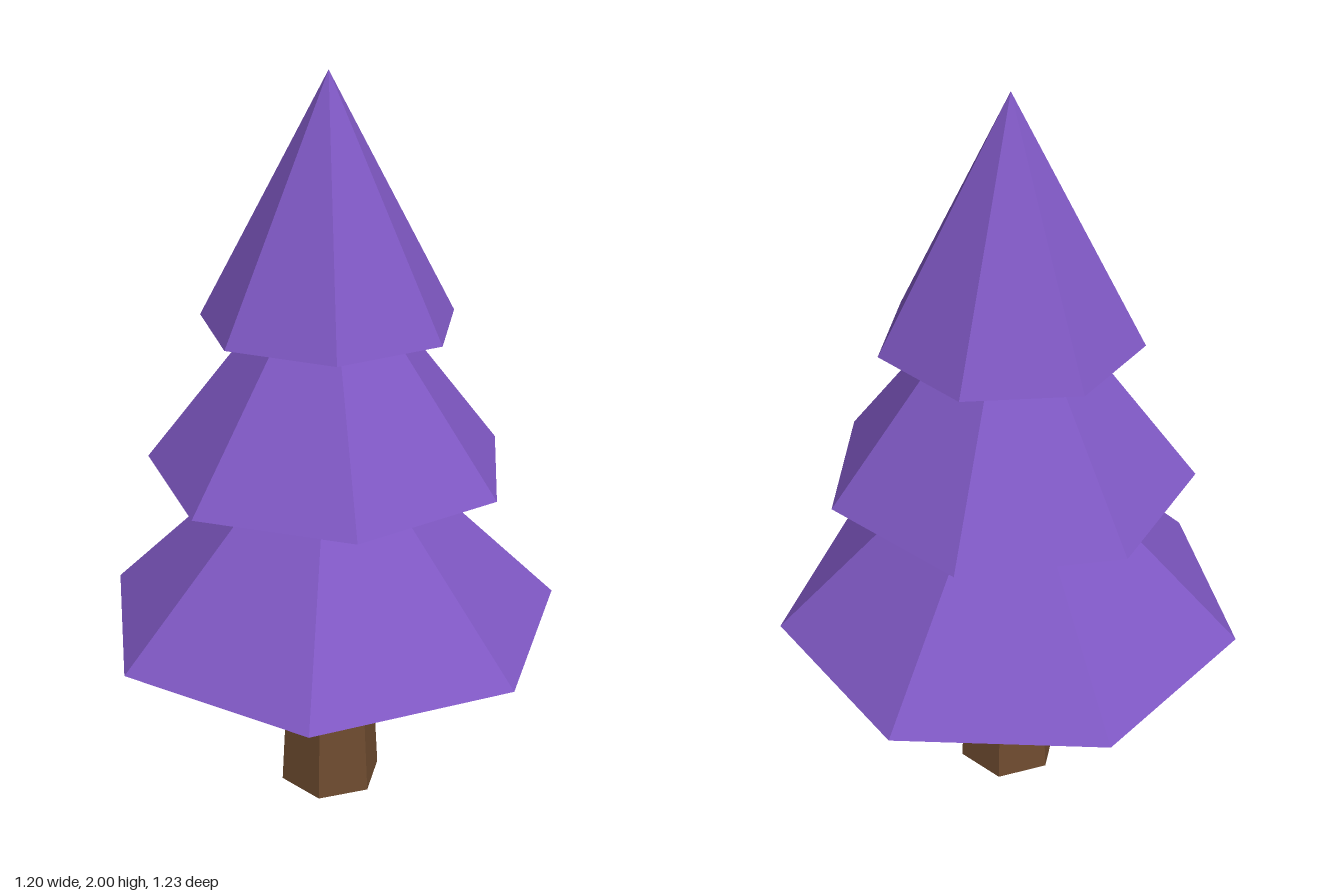
import * as THREE from 'three';

export function createModel() {
  const tree = new THREE.Group();
  tree.name = 'tree';
  const foliage = new THREE.MeshStandardMaterial({ name: 'purple foliage', color: 0x7e57c2 });
  const bark = new THREE.MeshStandardMaterial({ name: 'brown bark', color: 0x6f4c30 });
  const axisX = -0.032;

  // Faceted cone or tapered post standing on height y, turned by degrees
  function addTier(name, material, topRadius, radius, height, y, sides, degrees) {
    const geometry = new THREE.CylinderGeometry(topRadius, radius, height, sides).toNonIndexed();
    geometry.computeVertexNormals();
    const mesh = new THREE.Mesh(geometry, material);
    mesh.name = name;
    mesh.position.set(axisX, y + height / 2, 0);
    mesh.rotation.y = THREE.MathUtils.degToRad(degrees);
    tree.add(mesh);
  }

  // Six-sided trunk
  addTier('trunk', bark, 0.112, 0.144, 0.56, 0, 6, 90);

  // Three overlapping seven-sided cones
  addTier('lowerFoliage', foliage, 0, 0.633, 0.628, 0.54, 7, 90);
  addTier('middleFoliage', foliage, 0, 0.487, 0.628, 0.98, 7, -0.5);
  addTier('upperFoliage', foliage, 0, 0.338, 0.628, 1.372, 7, -5.2);

  return tree;
}
